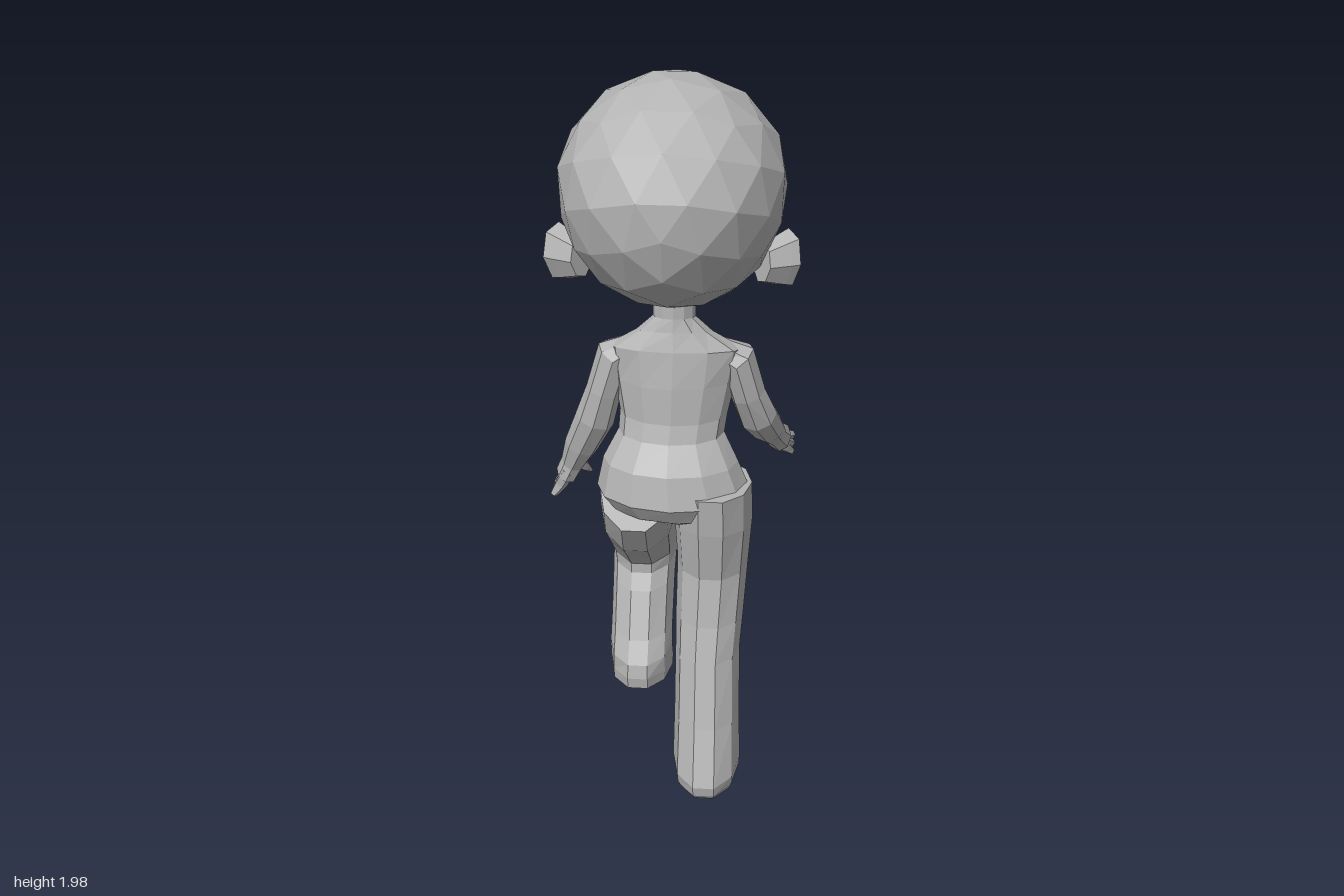
import * as THREE from 'three';

const V = (x, y, z) => new THREE.Vector3(x, y, z);

// Closed skin through a list of equal-length rings, with fan caps at both ends
function loft(rings) {
  const n = rings[0].length, tris = [];
  const mid = (r) => r.reduce((s, p) => s.add(p), V(0, 0, 0)).divideScalar(n);
  const last = rings[rings.length - 1], c0 = mid(rings[0]), c1 = mid(last);
  for (let j = 0; j < n; j++) {
    const k = (j + 1) % n;
    for (let i = 0; i < rings.length - 1; i++) {
      const a = rings[i], b = rings[i + 1];
      tris.push([a[j], a[k], b[j]], [a[k], b[k], b[j]]);
    }
    tris.push([c0, rings[0][k], rings[0][j]], [c1, last[j], last[k]]);
  }
  // Turn the faces outward when the enclosed volume comes out negative
  const volume = tris.reduce((s, [a, b, c]) => s + a.dot(b.clone().cross(c)), 0);
  const pos = [];
  for (const [a, b, c] of tris) {
    for (const p of volume < 0 ? [a, c, b] : [a, b, c]) pos.push(p.x, p.y, p.z);
  }
  const g = new THREE.BufferGeometry();
  g.setAttribute('position', new THREE.Float32BufferAttribute(pos, 3));
  g.computeVertexNormals();
  return g;
}

// Ellipse of points around a centre, spanned by two half-axes
function ring(c, a, b, n) {
  return Array.from({ length: n }, (_, i) => {
    const t = (i / n) * Math.PI * 2;
    return c.clone().addScaledVector(a, Math.cos(t)).addScaledVector(b, Math.sin(t));
  });
}

// Body skin from sections: [x centre, half width, y and z at -z edge, y and z at +z edge]
const body = (sections, n) => loft(sections.map(([x, w, yf, zf, yb, zb]) =>
  ring(V(x, (yf + yb) / 2, (zf + zb) / 2), V(w, 0, 0), V(0, (yf - yb) / 2, (zf - zb) / 2), n)));

// Limb along a path of [x, y, z, half width, half depth]
function limb(path, n) {
  const p = path.map((q) => V(q[0], q[1], q[2]));
  return loft(p.map((c, i) => {
    const t = p[Math.min(i + 1, p.length - 1)].clone().sub(p[Math.max(i - 1, 0)]).normalize();
    const side = V(1, 0, 0).addScaledVector(t, -t.x).normalize();
    const up = t.clone().cross(side);
    return ring(c, side.multiplyScalar(path[i][3]), up.multiplyScalar(path[i][4]), n);
  }));
}

// Head outline: [y, half width, z of face, z of back]
const HEAD = [
  [1.36, 0, -0.17, -0.17], [1.375, 0.08, -0.245, -0.03], [1.41, 0.14, -0.265, 0.07],
  [1.465, 0.192, -0.277, 0.2], [1.545, 0.242, -0.285, 0.302], [1.63, 0.275, -0.297, 0.338],
  [1.74, 0.293, -0.31, 0.356], [1.83, 0.27, -0.287, 0.325], [1.9, 0.22, -0.247, 0.275],
  [1.95, 0.165, -0.197, 0.195], [1.985, 0.092, -0.1, 0.128], [2, 0, 0.03, 0.03],
];
function headAt(y) {
  let i = 0;
  while (i < HEAD.length - 2 && y > HEAD[i + 1][0]) i++;
  const f = THREE.MathUtils.clamp((y - HEAD[i][0]) / (HEAD[i + 1][0] - HEAD[i][0]), 0, 1);
  return HEAD[i].map((v, k) => v + (HEAD[i + 1][k] - v) * f);
}
const CX = 0.01;

function headGeometry() {
  const g = new THREE.IcosahedronGeometry(1, 2);
  g.rotateX(Math.atan2(1, (1 + Math.sqrt(5)) / 2)); // one corner at the crown
  const p = g.attributes.position;
  for (let i = 0; i < p.count; i++) {
    const y = 1.68 + 0.32 * p.getY(i);
    const a = Math.atan2(p.getX(i), p.getZ(i));
    const [, w, zf, zb] = headAt(y);
    p.setXYZ(i, CX + Math.sin(a) * w, y, (zf + zb) / 2 + Math.cos(a) * (zb - zf) / 2);
  }
  g.computeVertexNormals();
  return g;
}

// Crescent ledge across the lower face
function muzzleGeometry() {
  const rings = [];
  for (let i = -3; i <= 3; i++) {
    const a = (i / 3) * 0.8, bulge = 0.03 * Math.cos((i / 3) * Math.PI / 2);
    const at = (y, out) => {
      const [, w, zf, zb] = headAt(y);
      return V(CX + Math.sin(a) * (w + out), y, (zf + zb) / 2 - Math.cos(a) * ((zb - zf) / 2 + out));
    };
    rings.push([at(1.555, -0.015), at(1.525, bulge), at(1.46, bulge * 0.3), at(1.42, -0.015), at(1.5, -0.06)]);
  }
  return loft(rings);
}

// Cupped ear, flaring outward and toward +z
function earGeometry(s) {
  const along = V(s * 0.034, 0, 0.048), up = V(s * 0.008, 0.078, 0);
  const out = V(s * 0.014, 0, -0.011);
  const c = V(CX + s * 0.291, 1.535, 0.014);
  const r = (shift, k) => ring(c.clone().addScaledVector(out, shift), along.clone().multiplyScalar(k),
    up.clone().multiplyScalar(k), 7);
  return loft([r(-4.5, 0.65), r(-1.2, 0.92), r(0, 1), r(0.1, 0.74), r(-1, 0.45)]);
}

export function createModel() {
  const group = new THREE.Group();
  group.name = 'figure';
  const grey = new THREE.MeshStandardMaterial({ color: 0xb4b4b4 });
  grey.name = 'plain grey';
  grey.flatShading = true;
  const add = (name, geometry) => {
    const m = new THREE.Mesh(geometry, grey);
    m.name = name;
    group.add(m);
  };

  // Head
  add('head', headGeometry());
  add('muzzle', muzzleGeometry());
  add('leftEar', earGeometry(1));
  add('rightEar', earGeometry(-1));

  // Neck, chest, waist and hips
  add('torso', body([
    [0.012, 0.056, 1.42, -0.07, 1.44, 0.03], [0.012, 0.056, 1.35, -0.07, 1.365, 0.033],
    [0.012, 0.1, 1.3, -0.09, 1.33, 0.04], [0.014, 0.18, 1.25, -0.125, 1.28, 0.055],
    [0.012, 0.165, 1.18, -0.148, 1.18, 0.068], [0.01, 0.145, 1.08, -0.125, 1.08, 0.075],
    [0.005, 0.143, 1.03, -0.11, 1.03, 0.09], [0.005, 0.183, 0.95, -0.118, 0.96, 0.145],
    [0.014, 0.21, 0.87, -0.13, 0.87, 0.166], [0.025, 0.185, 0.82, -0.1, 0.82, 0.135],
    [0.04, 0.1, 0.79, -0.05, 0.78, 0.07],
  ], 12));

  // Standing leg with a flared trouser and shoe
  add('leftLeg', body([
    [0.122, 0.105, 0.89, -0.12, 0.9, 0.16], [0.123, 0.107, 0.77, -0.125, 0.79, 0.15],
    [0.123, 0.098, 0.655, -0.096, 0.64, 0.126], [0.118, 0.094, 0.5, -0.045, 0.5, 0.15],
    [0.115, 0.09, 0.4, -0.03, 0.4, 0.18], [0.118, 0.092, 0.2, 0.005, 0.22, 0.236],
    [0.12, 0.095, 0.09, 0.005, 0.06, 0.295], [0.12, 0.093, 0.045, -0.02, 0.03, 0.29],
    [0.12, 0.085, 0.012, -0.005, 0.012, 0.275],
  ], 10));

  // Lifted leg, bent at the knee, stepping toward -z
  add('rightLeg', body([
    [-0.085, 0.105, 0.94, -0.115, 0.79, 0.145], [-0.088, 0.108, 0.865, -0.155, 0.685, 0.07],
    [-0.09, 0.103, 0.745, -0.238, 0.6, -0.04], [-0.09, 0.096, 0.62, -0.325, 0.545, -0.1],
    [-0.09, 0.093, 0.55, -0.345, 0.515, -0.1], [-0.09, 0.091, 0.49, -0.3, 0.47, -0.072],
    [-0.09, 0.09, 0.365, -0.226, 0.34, -0.01], [-0.09, 0.091, 0.31, -0.21, 0.28, 0.03],
    [-0.09, 0.093, 0.235, -0.258, 0.24, 0.04], [-0.09, 0.091, 0.2, -0.253, 0.205, 0.035],
    [-0.09, 0.082, 0.183, -0.21, 0.195, 0.01],
  ], 10));

  // Arms, mitts with split fingers, and thumbs
  add('leftArm', limb([
    [0.1, 1.275, -0.03, 0.03, 0.03], [0.178, 1.235, -0.035, 0.052, 0.056],
    [0.207, 1.13, -0.05, 0.048, 0.052], [0.235, 1.05, -0.08, 0.054, 0.052],
    [0.262, 0.98, -0.15, 0.047, 0.045], [0.28, 0.93, -0.22, 0.034, 0.038], [0.295, 0.895, -0.268, 0.034, 0.044],
  ], 8));
  add('rightArm', limb([
    [-0.08, 1.275, -0.03, 0.03, 0.03], [-0.148, 1.235, -0.035, 0.052, 0.056],
    [-0.18, 1.13, -0.035, 0.048, 0.052], [-0.207, 1.04, -0.045, 0.054, 0.052],
    [-0.25, 0.945, -0.07, 0.047, 0.045], [-0.278, 0.88, -0.09, 0.034, 0.038], [-0.297, 0.84, -0.1, 0.032, 0.044],
  ], 8));
  for (let i = 0; i < 3; i++) {
    const d = (i - 1) * 0.023;
    add('leftFinger' + (i + 1), limb([
      [0.288, 0.9 + d, -0.25 + d * 0.6, 0.02, 0.018], [0.312, 0.87 + d, -0.288 + d * 0.5, 0.019, 0.018],
      [0.33, 0.848 + d, -0.325 - d * 0.3, 0.011, 0.012],
    ], 5));
    add('rightFinger' + (i + 1), limb([
      [-0.288, 0.86, -0.095 + d, 0.02, 0.018], [-0.314, 0.81, -0.108 + d, 0.019, 0.018],
      [-0.335, 0.768 + Math.abs(d) * 0.4, -0.113 + d * 1.3, 0.011, 0.012],
    ], 5));
  }
  add('leftThumb', limb([
    [0.28, 0.925, -0.22, 0.024, 0.022], [0.25, 0.905, -0.27, 0.018, 0.017], [0.218, 0.89, -0.317, 0.006, 0.006],
  ], 5));
  add('rightThumb', limb([
    [-0.275, 0.88, -0.095, 0.024, 0.022], [-0.252, 0.85, -0.125, 0.018, 0.017], [-0.236, 0.825, -0.147, 0.006, 0.006],
  ], 5));
  return group;
}
